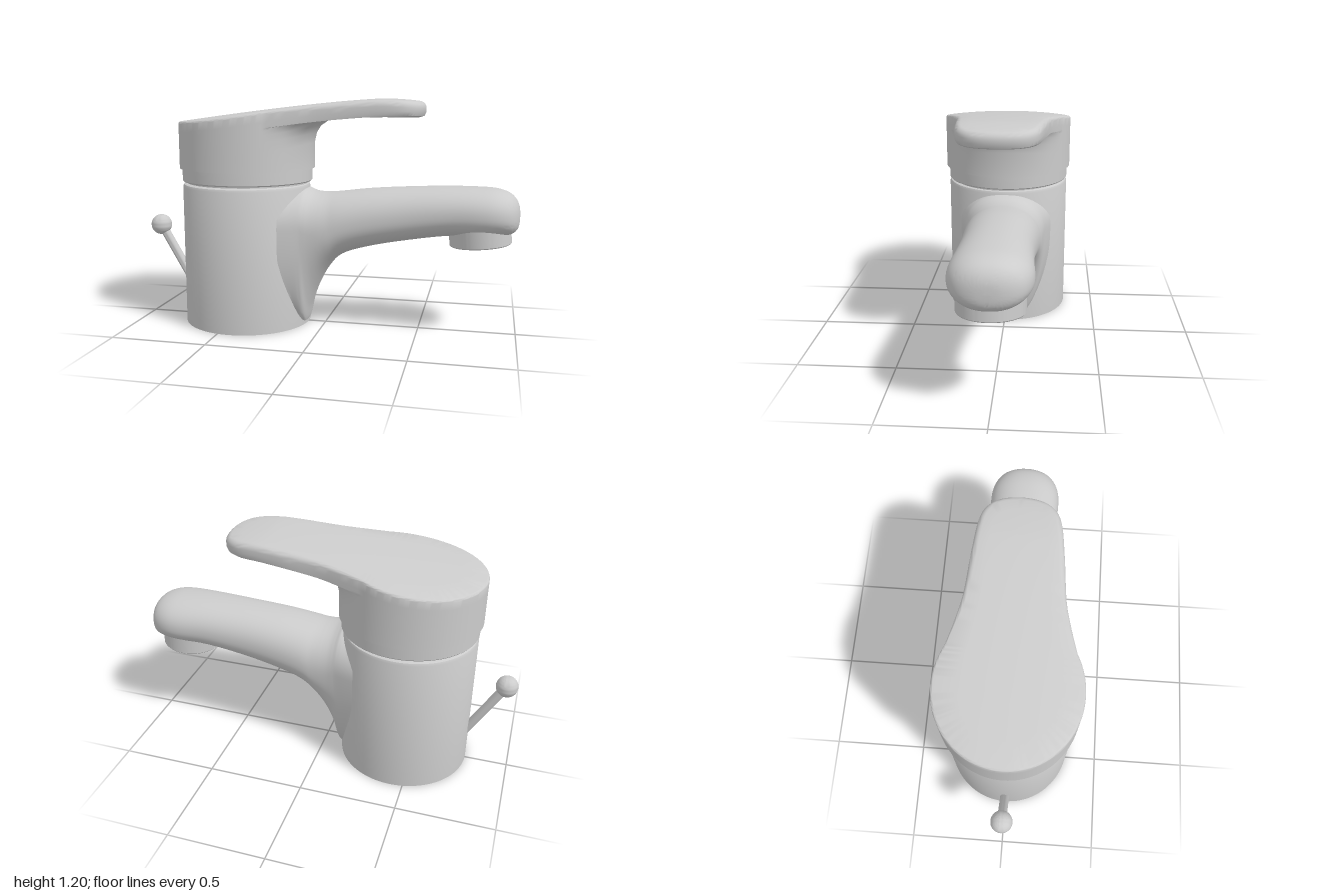
import * as THREE from 'three';
import { toCreasedNormals } from 'three/addons/utils/BufferGeometryUtils.js';

const material = new THREE.MeshStandardMaterial({ color: 0xcccccc, side: THREE.DoubleSide });
const AXIS_X = -0.435; // vertical axis of the body

function part(name, geometry, crease = 0.6) {
  const mesh = new THREE.Mesh(toCreasedNormals(geometry, crease), material);
  mesh.name = name;
  return mesh;
}

// Skin a list of closed rings (arrays of [x, y, z])
function loft(rings) {
  const n = rings[0].length, index = [];
  for (let i = 0; i < rings.length - 1; i++) {
    for (let j = 0; j < n; j++) {
      const a = i * n + j, b = i * n + (j + 1) % n;
      index.push(a, a + n, b, b, a + n, b + n);
    }
  }
  const g = new THREE.BufferGeometry();
  g.setAttribute('position', new THREE.Float32BufferAttribute(rings.flat(2), 3));
  g.setIndex(index);
  g.computeVertexNormals();
  return g;
}

// Smooth interpolation through rows of numbers
function smoothRows(rows, steps) {
  const out = [];
  const row = i => rows[Math.min(Math.max(i, 0), rows.length - 1)];
  for (let i = 0; i < rows.length - 1; i++) {
    for (let s = 0; s < steps; s++) {
      const t = s / steps;
      out.push(row(i).map((p1, k) => {
        const p0 = row(i - 1)[k], p2 = row(i + 1)[k], p3 = row(i + 2)[k];
        return p1 + 0.5 * t * (p2 - p0 + t * (2 * p0 - 5 * p1 + 4 * p2 - p3 + t * (3 * (p1 - p2) + p3 - p0)));
      }));
    }
  }
  out.push(rows[rows.length - 1]);
  return out;
}

function lathe(name, profile) {
  return part(name, new THREE.LatheGeometry(profile.map(p => new THREE.Vector2(...p)), 96), 0.5);
}

function spoutGeometry() {
  // x, underside, top, half width
  const rows = smoothRows([
    [-0.2, 0, 0.735, 0.25], [-0.15, 0, 0.735, 0.235], [-0.1, 0, 0.735, 0.22],
    [-0.075, 0.1, 0.725, 0.215], [-0.04, 0.2, 0.715, 0.21], [0.02, 0.31, 0.712, 0.205],
    [0.1, 0.39, 0.72, 0.2], [0.25, 0.44, 0.738, 0.19], [0.45, 0.48, 0.752, 0.18],
    [0.65, 0.51, 0.76, 0.182], [0.8, 0.515, 0.76, 0.19], [0.88, 0.52, 0.755, 0.182],
    [0.94, 0.525, 0.738, 0.155], [0.975, 0.54, 0.71, 0.115], [0.995, 0.57, 0.67, 0.06],
    [1, 0.62, 0.62, 0],
  ], 5);
  const n = 64;
  return loft(rows.map(([x, bottom, top, half]) => {
    const ring = [], h = top - bottom, yc = top - Math.min(h * 0.55, 0.2);
    for (let j = 0; j < n; j++) {
      const a = j / n * Math.PI * 2, c = Math.cos(a), s = Math.sin(a);
      let px = x, pz = half * Math.sign(c) * Math.abs(c) ** 0.9;
      const py = Math.max(0, yc + Math.sign(s) * Math.abs(s) ** 0.9 * (s > 0 ? top - yc : yc - bottom));
      // Points inside the body are moved out onto its wall
      const r = Math.hypot(px - AXIS_X, pz);
      if (r < 0.334) {
        px = AXIS_X + (px - AXIS_X) * 0.334 / r;
        pz *= 0.334 / r;
      }
      ring.push([px, py, pz]);
    }
    return ring;
  }));
}

// Cap and handle as one skin: the round base wall sweeps out under the handle
function leverGeometry() {
  const topY = (x, z) => 1.2 - 0.15 * z * z -
    (x < 0.3 ? 0.11 * (0.3 - x) ** 1.3 : 0.35 * (x - 0.3) ** 2);
  const half = [[0.505, 0.1], [0.46, 0.165], [0.38, 0.2], [0.2, 0.222], [0, 0.24], [-0.12, 0.266], [-0.25, 0.303]];
  const outline = new THREE.SplineCurve([
    ...half.map(([x, z]) => new THREE.Vector2(x, -z)).reverse(),
    new THREE.Vector2(0.52, 0),
    ...half.map(([x, z]) => new THREE.Vector2(x, z)),
  ]);
  const n = 192, front = Math.PI / 3, columns = [];
  // Share of the way from base to outline, height relative to the underside
  const under = [[0, -0.12], [0.02, -0.07], [0.06, -0.035], [0.13, -0.012], [0.22, -0.002],
    [0.4, 0], [0.65, 0], [0.95, 0], [0.985, 0.01], [1, 0.03]];
  for (let j = 0; j < n; j++) {
    const a = (j / n * 2 - 1) * Math.PI;
    const base = new THREE.Vector2(-0.43 + 0.362 * Math.cos(a), 0.35 * Math.sin(a));
    const rim = Math.abs(a) < front ? outline.getPoint((a / front + 1) / 2) : base.clone();
    const column = [[-0.43 + (base.x + 0.43) * 0.9, 0.835, base.y * 0.9], [base.x, 0.835, base.y]];
    for (const [f, dy] of under) {
      const p = base.clone().lerp(rim, f);
      column.push([p.x, topY(p.x, p.y) - 0.08 + dy, p.y]);
    }
    // Rounded upper edge, then the crowned top closing on a spine
    const spine = new THREE.Vector2(THREE.MathUtils.clamp(rim.x, -0.43, 0.3), 0);
    const r = 0.012 + 0.018 * Math.min(1, base.distanceTo(rim) / 0.25);
    const length = spine.distanceTo(rim);
    const addTop = (s, drop) => {
      const p = spine.clone().lerp(rim, s);
      column.push([p.x, topY(p.x, p.y) - drop, p.y]);
    };
    for (let k = 0; k <= 5; k++) {
      const q = k / 5 * Math.PI / 2;
      addTop(1 - r / length * (1 - Math.cos(q)), r * (1 - Math.sin(q)));
    }
    [0.65, 0.4, 0.2, 0].forEach(s => addTop(s, 0));
    columns.push(column);
  }
  return loft(columns[0].map((_, i) => columns.map(c => c[i])));
}

export function createModel() {
  const model = new THREE.Group();
  model.name = 'basinTap';

  // Open-bottomed body and the collar under the cap
  const body = lathe('body', [[0.335, 0], [0.335, 0.738], [0.33, 0.75], [0.318, 0.756], [0.3, 0.757]]);
  const collar = lathe('collar', [[0.312, 0.75], [0.312, 0.764], [0.33, 0.765], [0.335, 0.771], [0.335, 0.84], [0, 0.84]]);
  body.position.x = AXIS_X;
  body.scale.x = 1.02;
  collar.position.x = -0.43;
  collar.scale.x = 1.04;
  model.add(body, collar);

  model.add(part('spout', spoutGeometry(), 0.8));
  model.add(part('lever', leverGeometry(), 0.7));

  // Recessed outlet under the tip of the spout
  const outlet = lathe('outlet', [[0, 0.03], [0.06, 0.028], [0.11, 0.02], [0.135, 0.005], [0.143, 0], [0.152, 0], [0.156, 0.005], [0.156, 0.1]]);
  outlet.position.set(0.81, 0.467, 0);
  outlet.rotation.z = 0.085;
  model.add(outlet);

  // Drain pull rod with ball knob
  const knobAt = new THREE.Vector3(-0.944, 0.5, 0);
  const rodEnd = new THREE.Vector3(-0.705, 0.09, 0);
  const direction = rodEnd.clone().sub(knobAt);
  const rod = part('pullRod', new THREE.CylinderGeometry(0.024, 0.024, direction.length(), 24));
  rod.position.copy(knobAt).add(rodEnd).multiplyScalar(0.5);
  rod.quaternion.setFromUnitVectors(new THREE.Vector3(0, 1, 0), direction.normalize());
  const knob = part('pullKnob', new THREE.SphereGeometry(0.056, 32, 24));
  knob.position.copy(knobAt);
  model.add(rod, knob);

  return model;
}
